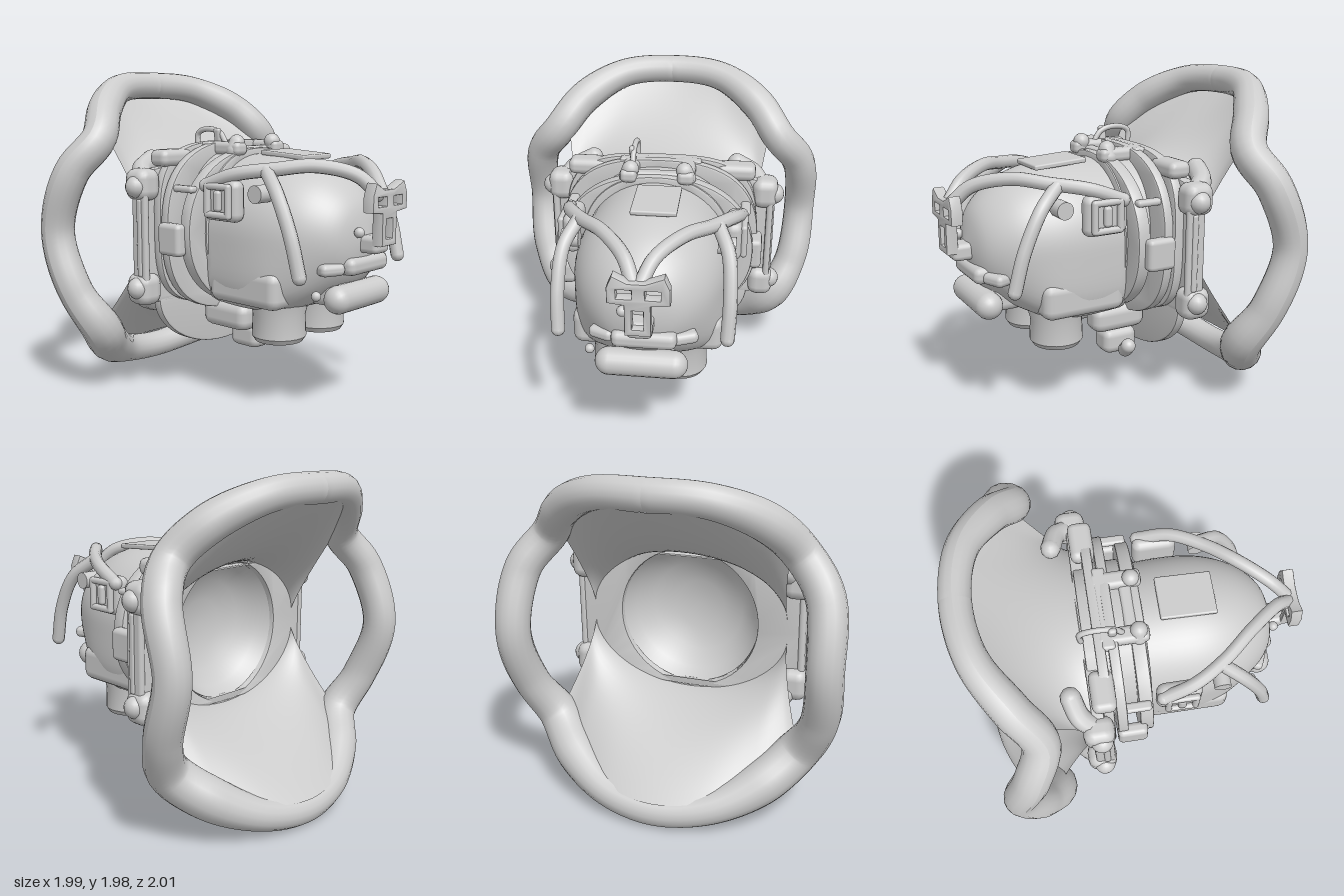
import * as THREE from 'three';
import { toCreasedNormals } from 'three/addons/utils/BufferGeometryUtils.js';
import { RoundedBoxGeometry } from 'three/addons/geometries/RoundedBoxGeometry.js';

const MAT = new THREE.MeshStandardMaterial({ color: 0xcccccc, side: THREE.DoubleSide });
const V = (p) => new THREE.Vector3(...p);

export function createModel() {
  const model = new THREE.Group();

  const add = (name, geo, pos = [0, 0, 0], rot = [0, 0, 0]) => {
    const mesh = new THREE.Mesh(geo, MAT);
    mesh.name = name;
    mesh.position.set(...pos);
    mesh.rotation.set(...rot);
    model.add(mesh);
  };
  const box = (name, size, pos, rot, r = 0.02) =>
    add(name, new RoundedBoxGeometry(...size, 2, Math.min(r, Math.min(...size) / 2.1)), pos, rot);
  const tube = (name, pts, r) => {
    add(name, new THREE.TubeGeometry(new THREE.CatmullRomCurve3(pts.map(V)), 40, r, 10));
    for (const p of [pts[0], pts[pts.length - 1]]) add(name + 'End', new THREE.SphereGeometry(r, 10, 8), p);
  };
  const pts = (list) => list.map((p) => new THREE.Vector2(...p));
  const superellipse = (rx, ry, n, cy = 0) => {
    const out = [];
    for (let i = 0; i < 64; i++) {
      const a = (i / 64) * Math.PI * 2, c = Math.cos(a), s = Math.sin(a);
      out.push(new THREE.Vector2(rx * Math.sign(c) * Math.abs(c) ** (2 / n), cy + ry * Math.sign(s) * Math.abs(s) ** (2 / n)));
    }
    return out;
  };
  const plate = (name, outline, holes, z, depth) => {
    const shape = new THREE.Shape(outline);
    holes.forEach((h) => shape.holes.push(new THREE.Path(h)));
    const b = 0.01;
    const geo = new THREE.ExtrudeGeometry(shape, { depth: depth - 2 * b, bevelThickness: b, bevelSize: b, bevelOffset: -b, bevelSegments: 2 });
    add(name, toCreasedNormals(geo, 0.6), [0, 0, z + b]);
  };

  // Wavy guard rim: half outline from top to bottom, mirrored
  const half = [[0, 1.905, -0.92], [0.32, 1.88, -0.865], [0.57, 1.75, -0.71], [0.72, 1.57, -0.59], [0.86, 1.38, -0.67],
    [0.895, 1.02, -0.78], [0.86, 0.66, -0.67], [0.74, 0.43, -0.59], [0.56, 0.265, -0.73], [0.31, 0.145, -0.87], [0, 0.1, -0.92]];
  const mirrored = half.slice(1, -1).reverse().map(([x, y, z]) => [-x, y, z]);
  const rimCurve = new THREE.CatmullRomCurve3([...half, ...mirrored].map(V), true);
  const rim = new THREE.TubeGeometry(rimCurve, 160, 0.1, 16, true);
  const rp = rim.attributes.position, v = new THREE.Vector3();
  for (let i = 0; i < rp.count; i++) {
    const centre = rimCurve.getPointAt((Math.floor(i / 17) / 160) % 1);
    const swell = THREE.MathUtils.smoothstep(centre.z, -0.93, -0.7);
    const low = THREE.MathUtils.smoothstep(-centre.y, -0.65, -0.35);
    const k = 0.88 + swell * (0.17 + 0.2 * low);
    v.fromBufferAttribute(rp, i).sub(centre).multiplyScalar(k).add(centre);
    rp.setXYZ(i, v.x, v.y, v.z);
  }
  rim.computeVertexNormals();
  add('guardRim', rim);

  // Flared shell sheets from the rear ring, running smoothly onto the inside of the rim
  const sheet = (name, sign, span) => {
    const nu = 40, nv = 14, pos = [], index = [];
    for (let i = 0; i <= nu; i++) {
      const s = (i / nu) * 2 - 1, a = (s * Math.PI) / 2, sx = Math.sin(a), c = Math.cos(a);
      const t = (sign > 0 ? s * span : 0.5 - s * span) + 1;
      const end = rimCurve.getPoint(t % 1);
      const inward = new THREE.Vector3(-end.x, 1.02 - end.y, 0).setLength(0.075 * c);
      end.add(inward).add(V([0, 0, -0.06 * c]));
      const curve = new THREE.QuadraticBezierCurve3(
        V([0.6 * sx, 1.02 + sign * 0.43 * c, -0.28]),
        V([0.57 * sx, 1.02 + sign * (0.18 + 0.24 * c), -0.36 - 0.19 * c]),
        end);
      for (let j = 0; j <= nv; j++) pos.push(...curve.getPoint(j / nv).toArray());
    }
    for (let i = 0; i < nu; i++) for (let j = 0; j < nv; j++) {
      const p = i * (nv + 1) + j, q = p + nv + 1;
      if (sign > 0) index.push(p, p + 1, q, q, p + 1, q + 1);
      else index.push(p, q, p + 1, q, q + 1, p + 1);
    }
    const geo = new THREE.BufferGeometry();
    geo.setAttribute('position', new THREE.Float32BufferAttribute(pos, 3));
    geo.setIndex(index);
    geo.computeVertexNormals();
    add(name, geo);
  };
  sheet('upperShell', 1, 0.132);
  sheet('lowerShell', -1, 0.15);

  // Domed body with a dished back, squared off in its lower half
  const profile = new THREE.SplineCurve(pts([[0.42, -0.28], [0.445, 0.05], [0.45, 0.32], [0.415, 0.52], [0.335, 0.69], [0.2, 0.82], [0, 0.87]])).getPoints(32);
  profile[profile.length - 1].x = 0;
  const dish = pts([[0, -0.06], [0.15, -0.075], [0.28, -0.12], [0.37, -0.2]]);
  const body = new THREE.LatheGeometry([...dish, ...profile], 64).rotateX(Math.PI / 2);
  const bp = body.attributes.position;
  for (let i = 0; i < bp.count; i++) {
    const x = bp.getX(i), y = bp.getY(i), r = Math.hypot(x, y);
    if (y >= 0 || r < 1e-4 || bp.getZ(i) < 0) continue;
    const full = 1 / ((Math.abs(x) / r) ** 5 + (-y / r) ** 5) ** 0.2;
    const k = THREE.MathUtils.lerp(full, 1, THREE.MathUtils.smoothstep(bp.getZ(i), 0.45, 0.85));
    bp.setXY(i, x * k, y * k);
  }
  add('body', toCreasedNormals(body, 0.7), [0, 1.04, 0]);
  box('chinBand', [0.88, 0.22, 0.52], [0, 0.755, 0.3], undefined, 0.06);
  box('topPanel', [0.26, 0.03, 0.33], [0.03, 1.49, 0.32], [0.06, 0, 0], 0.01);

  // Collar: sleeve, stacked rings and rear plate
  const hole = superellipse(0.42, 0.42, 2, 1.03);
  plate('collarSleeve', superellipse(0.46, 0.48, 2.3, 1.04), [hole], -0.3, 0.36);
  plate('frontRing', superellipse(0.585, 0.475, 2.2, 1.045), [hole], -0.03, 0.08);
  plate('middleRing', superellipse(0.61, 0.52, 2.6, 1.045), [hole], -0.165, 0.06);
  plate('rearRing', superellipse(0.6, 0.5, 3.4, 1.06), [hole], -0.24, 0.06);
  plate('rearPlate', superellipse(0.7, 0.41, 8, 1.01), [hole], -0.31, 0.07);
  plate('lowerFin', superellipse(0.56, 0.36, 2, 0.63).filter((p) => p.y <= 0.64), [], -0.3, 0.06);

  for (const s of [-1, 1]) {
    // Corner bosses, side rails and ring brackets
    for (const y of [1.31, 0.71]) {
      const out = y > 1 ? 1 : -1;
      box('cornerBoss', [0.16, 0.19, 0.18], [s * 0.645, y + out * 0.01, -0.28], undefined, 0.06);
      add('bossKnob', new THREE.SphereGeometry(0.065, 16, 12), [s * 0.7, y, -0.27]);
      tube('shellStrut', [[s * 0.62, y + out * 0.04, -0.3], [s * 0.57, y + out * 0.09, -0.37], [s * 0.46, y + out * 0.14, -0.41]], 0.06);
    }
    box('sideRail', [0.04, 0.7, 0.12], [s * 0.68, 1.01, -0.26]);
    box('railInset', [0.03, 0.46, 0.04], [s * 0.695, 1.01, -0.25]);
    box('ringBracket', [0.08, 0.19, 0.18], [s * 0.6, 1.01, -0.08], undefined, 0.03);
    box('ringTab', [0.06, 0.04, 0.2], [s * 0.53, 1.3, -0.06]);

    // Top clamps
    box('clampBar', [0.1, 0.08, 0.3], [s * 0.17, 1.52, -0.07], undefined, 0.03);
    add('clampRoller', new THREE.CapsuleGeometry(0.05, 0.05, 6, 14), [s * 0.17, 1.53, 0.02], [0, 0, 0.4 * s]);
    box('topLug', [0.24, 0.1, 0.14], [s * 0.46, 1.47, -0.23], undefined, 0.04);

    // Arched arms, drooping arms and side pods
    tube('archArm', [[s * 0.02, 1.3, 0.94], [s * 0.08, 1.4, 0.84], [s * 0.22, 1.45, 0.66], [s * 0.36, 1.43, 0.49], [s * 0.47, 1.4, 0.3], [s * 0.51, 1.33, 0.11]], 0.04);
    tube('droopArm', [[s * 0.39, 1.42, 0.46], [s * 0.455, 1.31, 0.59], [s * 0.475, 1.1, 0.7], [s * 0.47, 0.88, 0.76]], 0.04);
    box('sidePod', [0.1, 0.24, 0.27], [s * 0.47, 1.25, 0.21], undefined, 0.05);
    for (const d of [-0.08, 0.08]) {
      box('podFrame', [0.04, 0.2, 0.04], [s * 0.53, 1.25, 0.22 + d]);
      box('podFrame', [0.04, 0.04, 0.2], [s * 0.53, 1.25 + d, 0.22]);
    }
    box('podLatch', [0.04, 0.12, 0.05], [s * 0.53, 1.25, 0.22]);
    add('podPivot', new THREE.CylinderGeometry(0.05, 0.05, 0.1, 20), [s * 0.44, 1.3, 0.46], [0, 0, Math.PI / 2]);

    // Hollow thruster feet
    const foot = pts([[0, 0.52], [0.09, 0.52], [0.1, 0.42], [0.14, 0.42], [0.16, 0.45], [0.155, 0.58], [0.18, 0.68]]);
    add('foot', toCreasedNormals(new THREE.LatheGeometry(foot, 28), 0.6), [s * 0.185, 0, 0.38]);
    box('keelPod', [0.17, 0.17, 0.36], [s * 0.13, 0.49, -0.06], undefined, 0.06);
  }

  // Lever and carry handle on top of the collar
  box('lever', [0.035, 0.14, 0.05], [-0.165, 1.57, -0.13], [0, 0, 0.15]);
  tube('topHandle', [[-0.16, 1.53, -0.06], [-0.16, 1.61, -0.12], [-0.16, 1.63, -0.24], [-0.16, 1.6, -0.31], [-0.16, 1.5, -0.31]], 0.017);
  box('topCrossbar', [0.5, 0.06, 0.08], [0, 1.53, -0.16]);
  box('topCrossbar', [0.28, 0.06, 0.07], [0, 1.5, -0.02]);

  // Face bracket with cut-outs
  plate('faceBracket', pts([[-0.12, 1.37], [-0.04, 1.33], [0.05, 1.33], [0.15, 1.37], [0.18, 1.3], [0.18, 1.21], [0.08, 1.2], [0.08, 1.02],
    [-0.06, 1.02], [-0.06, 1.2], [-0.15, 1.21], [-0.15, 1.3]]),
  [pts([[-0.1, 1.24], [-0.02, 1.24], [-0.02, 1.29], [-0.1, 1.29]]), pts([[0.05, 1.24], [0.13, 1.24], [0.13, 1.29], [0.05, 1.29]]),
    pts([[-0.02, 1.06], [0.04, 1.06], [0.04, 1.17], [-0.02, 1.17]])], 0.93, 0.07);
  box('faceMount', [0.14, 0.1, 0.14], [0.01, 1.02, 0.89], undefined, 0.03);
  add('faceButton', new THREE.SphereGeometry(0.03, 12, 10), [-0.09, 1.09, 0.87]);

  // Mouth bars
  box('upperBar', [0.36, 0.1, 0.16], [0.02, 0.9, 0.8], undefined, 0.04);
  for (const s of [-1, 1]) box('upperBarEnd', [0.15, 0.07, 0.12], [0.01 + s * 0.22, 0.89, 0.76], [0, s * 0.4, 0], 0.03);
  add('lowerBar', new THREE.CapsuleGeometry(0.08, 0.36, 8, 20), [0, 0.72, 0.8], [0, 0, Math.PI / 2]);
  box('lowerBarMount', [0.36, 0.14, 0.2], [0, 0.73, 0.67], undefined, 0.05);
  add('mouthBall', new THREE.SphereGeometry(0.028, 12, 10), [-0.3, 0.75, 0.74]);

  // Hanging pieces under the collar
  box('hangingBox', [0.17, 0.16, 0.23], [0.085, 0.315, -0.09], undefined, 0.05);
  box('hangingStem', [0.08, 0.14, 0.1], [0.085, 0.41, -0.1]);
  add('hangingCapsule', new THREE.CapsuleGeometry(0.045, 0.12, 8, 16), [0.31, 0.335, -0.04], [0.5, 0, -0.9]);

  return model;
}
